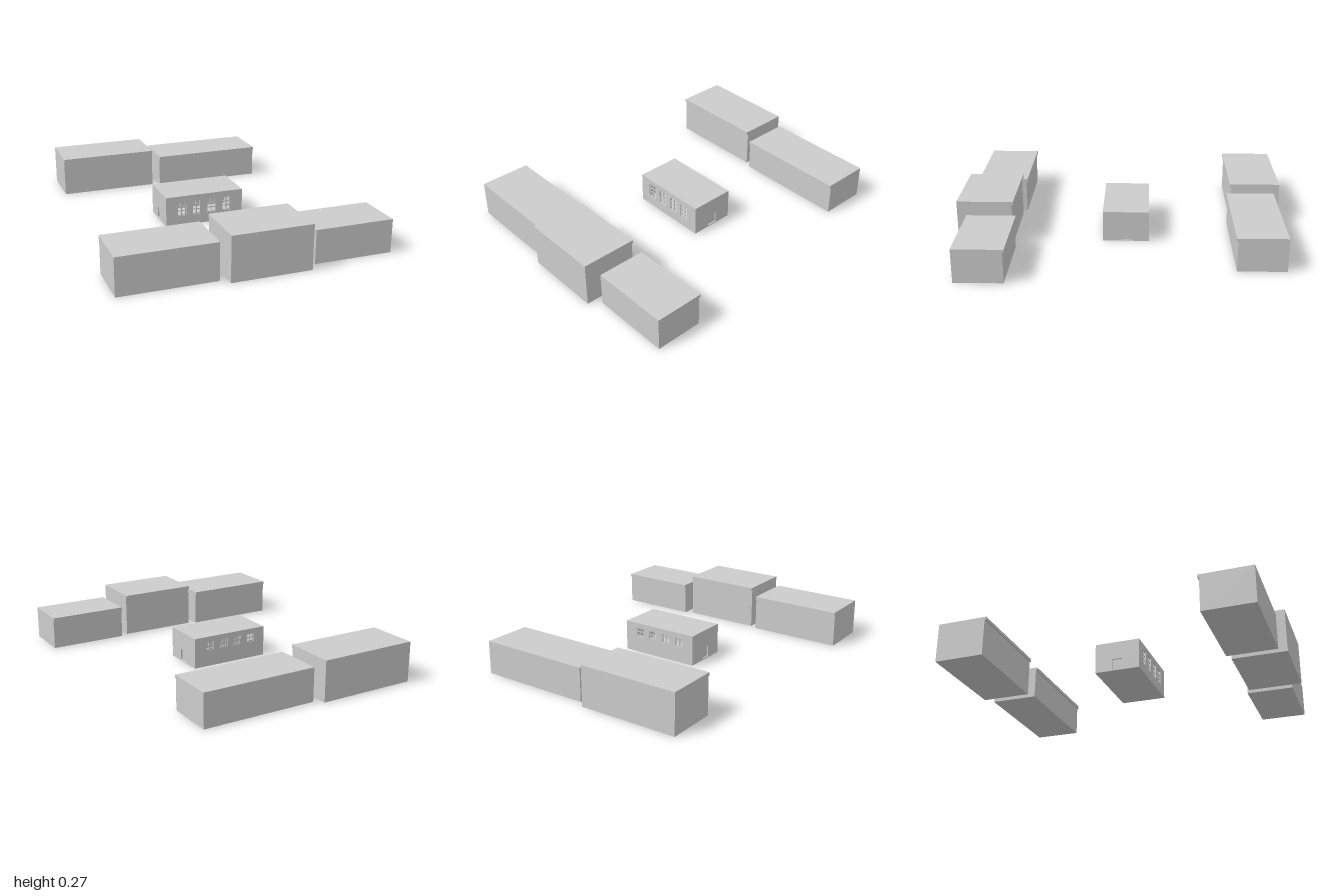
import * as THREE from 'three';

export function createModel() {
  const model = new THREE.Group();
  model.name = 'streetBlock';
  const stone = new THREE.MeshStandardMaterial({ color: 0xcccccc });
  stone.name = 'pale grey';

  // Box given by its lower and upper limits on each axis
  function box(parent, name, x0, x1, y0, y1, z0, z1) {
    const mesh = new THREE.Mesh(new THREE.BoxGeometry(x1 - x0, y1 - y0, z1 - z0), stone);
    mesh.position.set((x0 + x1) / 2, (y0 + y1) / 2, (z0 + z1) / 2);
    mesh.name = name;
    parent.add(mesh);
    return mesh;
  }

  function rect(target, x0, x1, y0, y1) {
    return target.moveTo(x0, y0).lineTo(x1, y0).lineTo(x1, y1).lineTo(x0, y1).closePath();
  }

  // Outer houses: plain block with a shallow cornice on the side facing the middle
  const lip = 0.009, band = 0.02;
  const houses = [
    ['frontHouseRight', -0.825, -0.246, 0.226, 0.637, 0.953],
    ['frontHouseMiddle', -0.2, 0.286, 0.273, 0.658, 1],
    ['frontHouseLeft', 0.334, 0.82, 0.205, 0.637, 0.934],
    ['backHouseRight', -0.735, -0.115, 0.248, -1, -0.683],
    ['backHouseLeft', -0.068, 0.64, 0.205, -0.958, -0.658],
  ];
  for (const [name, x0, x1, h, z0, z1] of houses) {
    const house = new THREE.Group();
    house.name = name;
    const front = z0 > 0;
    box(house, 'walls', x0, x1, 0, h, front ? z0 + lip : z0, front ? z1 : z1 - lip);
    if (front) box(house, 'cornice', x0, x1, h - band, h, z0, z0 + lip);
    else box(house, 'cornice', x0, x1, h - band, h, z1 - lip, z1);
    model.add(house);
  }

  // Middle house: hollow, with real window openings
  const hall = new THREE.Group();
  hall.name = 'middleHouse';
  model.add(hall);
  const X0 = -0.275, X1 = 0.229, Z0 = -0.164, Z1 = 0.119, H = 0.19, t = 0.016;
  const windowX = [-0.174, -0.075, 0.024, 0.123];
  box(hall, 'roof', X0, X1, H - 0.01, H, Z0, Z1);
  box(hall, 'floor', X0, X1, 0, 0.008, Z0, Z1);

  // Long wall with four windows, each split by glazing bars
  function longWall(name, z, half, y0, y1, rows) {
    const wall = new THREE.Group();
    wall.name = name;
    const shape = rect(new THREE.Shape(), X0, X1, 0, H);
    for (const x of windowX) shape.holes.push(rect(new THREE.Path(), x - half, x + half, y0, y1));
    const panel = new THREE.Mesh(new THREE.ExtrudeGeometry(shape, { depth: t, bevelEnabled: false }), stone);
    panel.position.z = z;
    panel.name = 'wall';
    wall.add(panel);
    const zm = z + t / 2, b = 0.003, d = 0.003;
    for (const x of windowX) {
      for (const i of [-1, 0, 1]) {
        const c = x + i * (half - b);
        box(wall, 'windowUpright', c - b, c + b, y0, y1, zm - d, zm + d);
      }
      for (let i = 0; i <= rows; i++) {
        const c = y0 + b + (y1 - y0 - 2 * b) * i / rows;
        box(wall, 'windowCrossbar', x - half, x + half, c - b, c + b, zm - d, zm + d);
      }
    }
    hall.add(wall);
  }
  longWall('frontWall', Z1 - t, 0.03, 0.062, 0.155, 3);
  longWall('backWall', Z0, 0.028, 0.105, 0.16, 2);

  // End walls: a thin skin notched for the doorway, over a recessed door
  const zc = (Z0 + Z1) / 2, doorHalf = 0.032, doorTop = 0.076, recess = 0.009;
  for (const side of [-1, 1]) {
    const end = new THREE.Group();
    end.name = side > 0 ? 'leftEndWall' : 'rightEndWall';
    const outer = side > 0 ? X1 : X0;
    const inner = outer - side * recess, back = outer - side * t;
    const lo = Math.min(outer, inner), hi = Math.max(outer, inner);
    box(end, 'wallBehindDoor', lo, hi, 0, H, Z0, zc - doorHalf);
    box(end, 'wallBeforeDoor', lo, hi, 0, H, zc + doorHalf, Z1);
    box(end, 'doorLintel', lo, hi, doorTop, H, zc - doorHalf, zc + doorHalf);
    box(end, 'doorAndLining', Math.min(inner, back), Math.max(inner, back), 0, H, Z0 + t, Z1 - t);
    hall.add(end);
  }

  return model;
}
